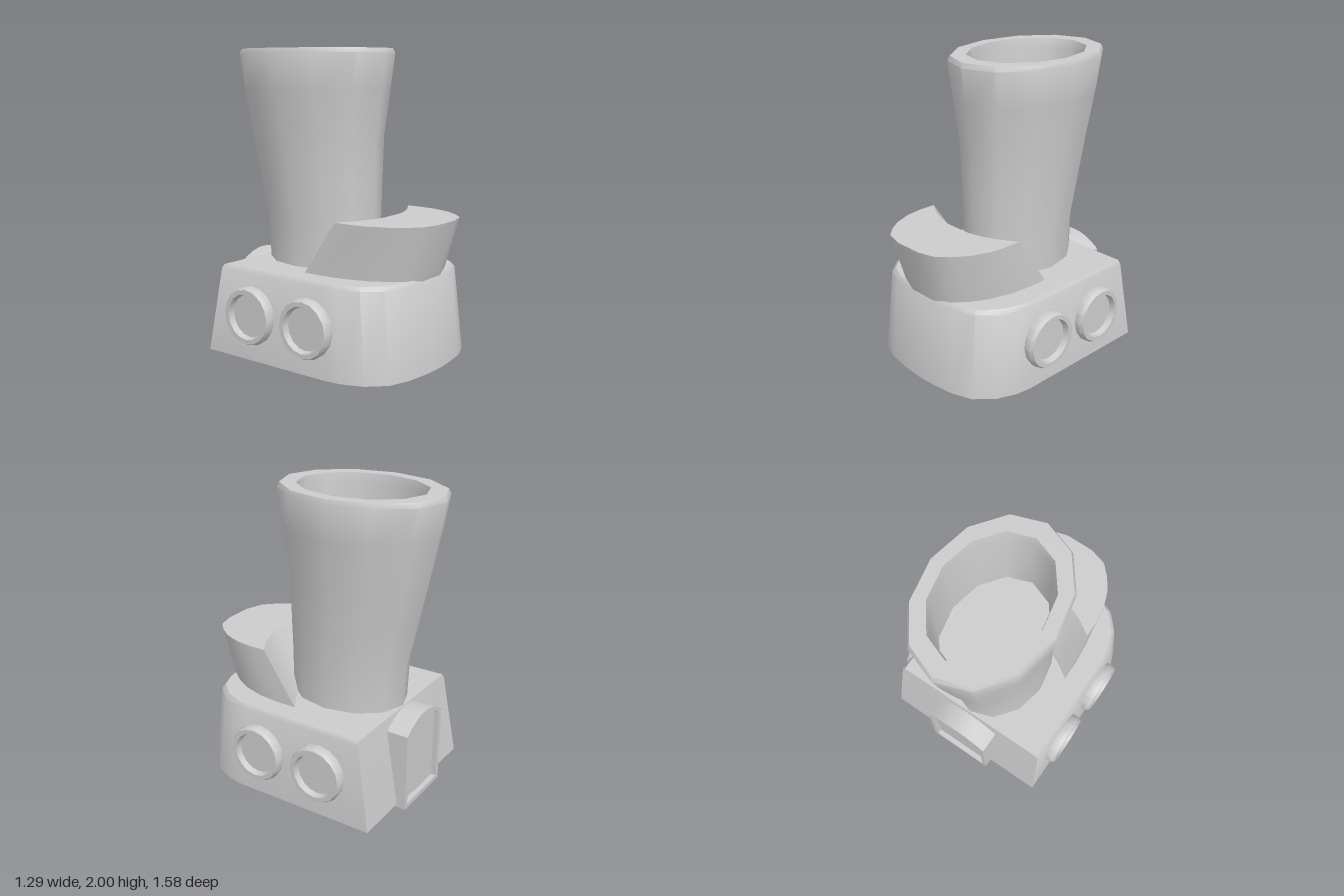
import * as THREE from 'three';
import { toCreasedNormals } from 'three/addons/utils/BufferGeometryUtils.js';

const material = new THREE.MeshStandardMaterial({ color: 0xcccccc });

function addMesh(parent, name, geometry, crease = 0.72) {
  const mesh = new THREE.Mesh(crease ? toCreasedNormals(geometry, crease) : geometry, material);
  mesh.name = name;
  parent.add(mesh);
  return mesh;
}

// Skins a stack of [x, y, z] loops (counter-clockwise from above) and caps both ends.
function loft(loops) {
  const n = loops[0].length;
  const index = [];
  for (let k = 0; k < loops.length - 1; k++) {
    for (let i = 0; i < n; i++) {
      const a = k * n + i, b = k * n + (i + 1) % n;
      index.push(a, b, b + n, a, b + n, a + n);
    }
  }
  const cap = (k, flip) => {
    const flat = loops[k].map(([x, , z]) => new THREE.Vector2(x, -z));
    for (const [a, b, c] of THREE.ShapeUtils.triangulateShape(flat, [])) {
      index.push(k * n + a, k * n + (flip ? c : b), k * n + (flip ? b : c));
    }
  };
  cap(0, true);
  cap(loops.length - 1, false);
  const geometry = new THREE.BufferGeometry();
  geometry.setAttribute('position', new THREE.Float32BufferAttribute(loops.flat(2), 3));
  geometry.setIndex(index);
  return geometry;
}

// Mirrors a right-hand run of [x, z] points (back to front) into a closed loop.
function mirrorLoop(half, y) {
  const right = half.map(([x, z]) => [x, y, z]);
  const left = half.map(([x, z]) => [-x, y, z]).reverse();
  return [...left, ...right].reverse();
}

// Cabin: square back, rounded front, walls leaning inwards
function cabinLoop(y, w, back, front) {
  const curve = [[1, 0.33], [0.975, 0.43], [0.89, 0.56], [0.72, 0.67], [0.5, 0.72], [0.25, 0.742]];
  const half = [[w, back], ...curve.map(([x, z]) => [x * w, z - 0.75 + front]), [0.04, front]];
  return mirrorLoop(half, y);
}

// Crescent hood: outer bow plus a concave inner edge, widest at its rear tips
function hoodLoop(y, tip, front, innerMid) {
  const bow = [[0.41, 0], [0.41, 0.2], [0.395, 0.42], [0.35, 0.64], [0.29, 0.8], [0.22, 0.93], [0.1, 0.995]];
  const inner = [0.1, 0.2, 0.3].map((x) => [x, innerMid + (tip - innerMid) * (x / 0.41) ** 2]);
  return mirrorLoop([...inner, ...bow.map(([x, t]) => [x, tip + (front - tip) * t])], y);
}

// Twelve-sided oval ring for the funnel
function ovalLoop([y, w, back, front]) {
  return Array.from({ length: 12 }, (_, i) => {
    const t = (i / 12) * Math.PI * 2;
    return [w * Math.cos(t), y, (back + front) / 2 - ((front - back) / 2) * Math.sin(t)];
  });
}

// Arched doorway outline
function archPath(path, w, bottom, spring, top) {
  path.moveTo(-w, bottom);
  path.lineTo(w, bottom);
  path.lineTo(w, spring);
  for (let i = 1; i <= 8; i++) {
    const u = 1 - i / 4;
    path.lineTo(w * u, spring + (top - spring) * (1 - u * u));
  }
  path.closePath();
  return path;
}

export function createModel() {
  const model = new THREE.Group();
  model.name = 'funnelCabin';

  addMesh(model, 'cabin', loft([
    cabinLoop(0.02, 0.6, -0.66, 0.75),
    cabinLoop(0.58, 0.568, -0.565, 0.695),
    cabinLoop(0.605, 0.55, -0.56, 0.675),
  ]));

  addMesh(model, 'hood', loft([
    hoodLoop(0.59, 0, 0.69, 0.15),
    hoodLoop(0.95, 0.245, 0.79, 0.39),
  ]));

  // Funnel: outer wall up, over the rim, then down inside to a floor
  addMesh(model, 'funnel', loft([
    [0.59, 0.312, -0.553, 0.25],
    [0.87, 0.315, -0.565, 0.25],
    [1.16, 0.335, -0.63, 0.257],
    [1.44, 0.358, -0.69, 0.265],
    [1.74, 0.4, -0.75, 0.305],
    [1.97, 0.425, -0.788, 0.335],
    [2, 0.412, -0.772, 0.32],
    [2, 0.33, -0.658, 0.207],
    [1.94, 0.32, -0.642, 0.197],
    [1.4, 0.312, -0.632, 0.19],
  ].map(ovalLoop)));

  // Portholes: ring with a recessed pane, two on each side
  const ring = [[0.17, -0.04], [0.19, 0], [0.19, 0.04], [0.178, 0.065], [0.148, 0.065], [0.138, 0.025], [0, 0.025]];
  const ringProfile = ring.map(([r, h]) => new THREE.Vector2(r, h));
  for (const side of [1, -1]) {
    for (const z of [0.17, -0.29]) {
      const name = (side > 0 ? 'left' : 'right') + (z > 0 ? 'Front' : 'Rear') + 'Porthole';
      const porthole = addMesh(model, name, new THREE.LatheGeometry(ringProfile, 16), 0.5);
      porthole.rotation.z = -side * Math.PI / 2;
      porthole.position.set(side * 0.578, 0.315, z);
    }
  }

  // Rear door: arched frame around a recessed panel
  const door = new THREE.Group();
  door.name = 'rearDoor';
  door.position.set(0.005, 0, -0.575);
  door.rotation.y = Math.PI;
  model.add(door);
  const frame = archPath(new THREE.Shape(), 0.23, 0, 0.53, 0.615);
  frame.holes.push(archPath(new THREE.Path(), 0.2, 0.03, 0.515, 0.59));
  const panel = archPath(new THREE.Shape(), 0.215, 0.015, 0.52, 0.6);
  addMesh(door, 'doorFrame', new THREE.ExtrudeGeometry(frame, { depth: 0.145, bevelEnabled: false }), 0.4);
  addMesh(door, 'doorPanel', new THREE.ExtrudeGeometry(panel, { depth: 0.11, bevelEnabled: false }), 0.4);

  return model;
}
